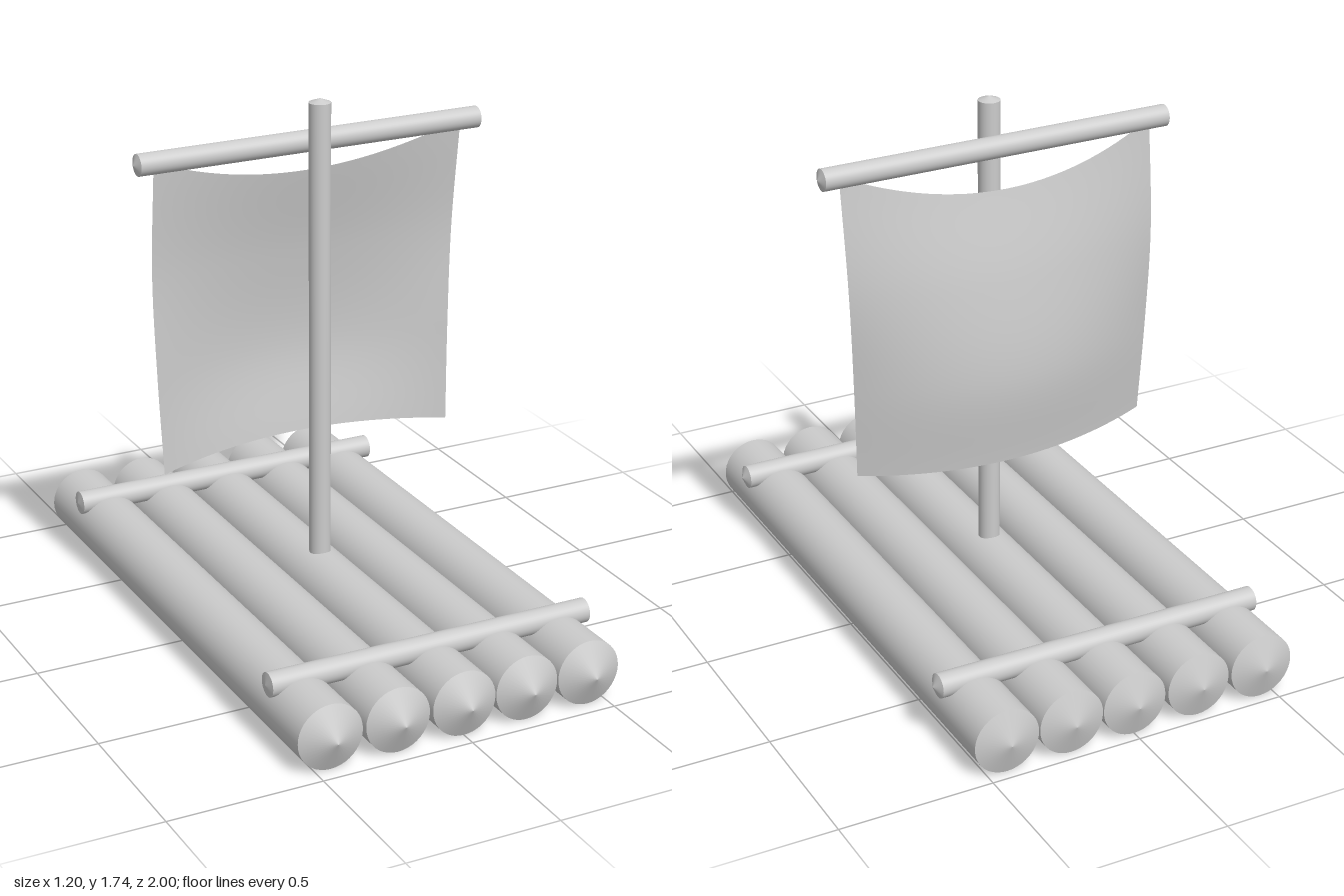
import * as THREE from 'three';
import { mergeGeometries } from 'three/addons/utils/BufferGeometryUtils.js';

const material = new THREE.MeshStandardMaterial({ color: 0xcccccc });
const sailMaterial = new THREE.MeshStandardMaterial({ color: 0xcccccc, side: THREE.DoubleSide });

// Round pole along y from start to end, with a low cone on each end
function poleGeometry(radius, start, end, startTip, endTip) {
  const body = new THREE.CylinderGeometry(radius, radius, end - start, 40, 1, true);
  body.translate(0, (start + end) / 2, 0);
  const top = new THREE.ConeGeometry(radius, endTip, 40, 1, true);
  top.translate(0, end + endTip / 2, 0);
  const bottom = new THREE.ConeGeometry(radius, startTip, 40, 1, true);
  bottom.rotateX(Math.PI).translate(0, start - startTip / 2, 0);
  return mergeGeometries([body, top, bottom]);
}

// Sail surface: three vertical curves blended by a parabola across the width
function sailGeometry() {
  const curve = (points) => new THREE.CatmullRomCurve3(points.map((p) => new THREE.Vector3(...p)));
  const right = curve([[-0.535, 1.59, -0.065], [-0.54, 1.22, -0.085], [-0.537, 0.88, -0.068], [-0.53, 0.57, -0.045]]);
  const middle = curve([[0, 1.475, -0.125], [0, 1.18, -0.185], [0, 0.86, -0.215], [0, 0.57, -0.18]]);
  const left = curve([[0.53, 1.59, -0.065], [0.522, 1.22, -0.098], [0.505, 0.88, -0.082], [0.49, 0.57, -0.058]]);

  const geometry = new THREE.PlaneGeometry(2, 1, 32, 32);
  const position = geometry.attributes.position;
  for (let i = 0; i < position.count; i++) {
    const s = position.getX(i);
    const v = 0.5 - position.getY(i);
    const p = middle.getPoint(v).multiplyScalar(1 - s * s)
      .addScaledVector(right.getPoint(v), (s * (s - 1)) / 2)
      .addScaledVector(left.getPoint(v), (s * (s + 1)) / 2);
    position.setXYZ(i, p.x, p.y, p.z);
  }
  geometry.computeVertexNormals();
  return geometry;
}

export function createModel() {
  const raft = new THREE.Group();
  raft.name = 'raft';
  const add = (name, geometry, x, y, z, mat = material) => {
    const mesh = new THREE.Mesh(geometry, mat);
    mesh.name = name;
    mesh.position.set(x, y, z);
    raft.add(mesh);
  };

  // Deck logs, front to back
  const log = poleGeometry(0.107, -0.965, 0.947, 0.035, 0.053).rotateX(Math.PI / 2);
  [-0.45, -0.225, 0, 0.217, 0.435].forEach((x, i) => add(`deckLog${i + 1}`, log, x, 0.107, 0));

  // Cross poles tying the logs together
  const crossPole = poleGeometry(0.039, -0.55, 0.548, 0.008, 0.018).rotateZ(-Math.PI / 2);
  add('frontCrossPole', crossPole, 0, 0.2, 0.733);
  add('backCrossPole', crossPole, 0, 0.2, -0.735);

  // Mast, yard and sail
  add('mast', poleGeometry(0.035, 0.12, 1.725, 0.01, 0.013), 0, 0, -0.01);
  add('yard', poleGeometry(0.035, -0.59, 0.586, 0.014, 0.014).rotateZ(-Math.PI / 2), 0, 1.59, -0.063);
  add('sail', sailGeometry(), 0, 0, 0, sailMaterial);

  return raft;
}
